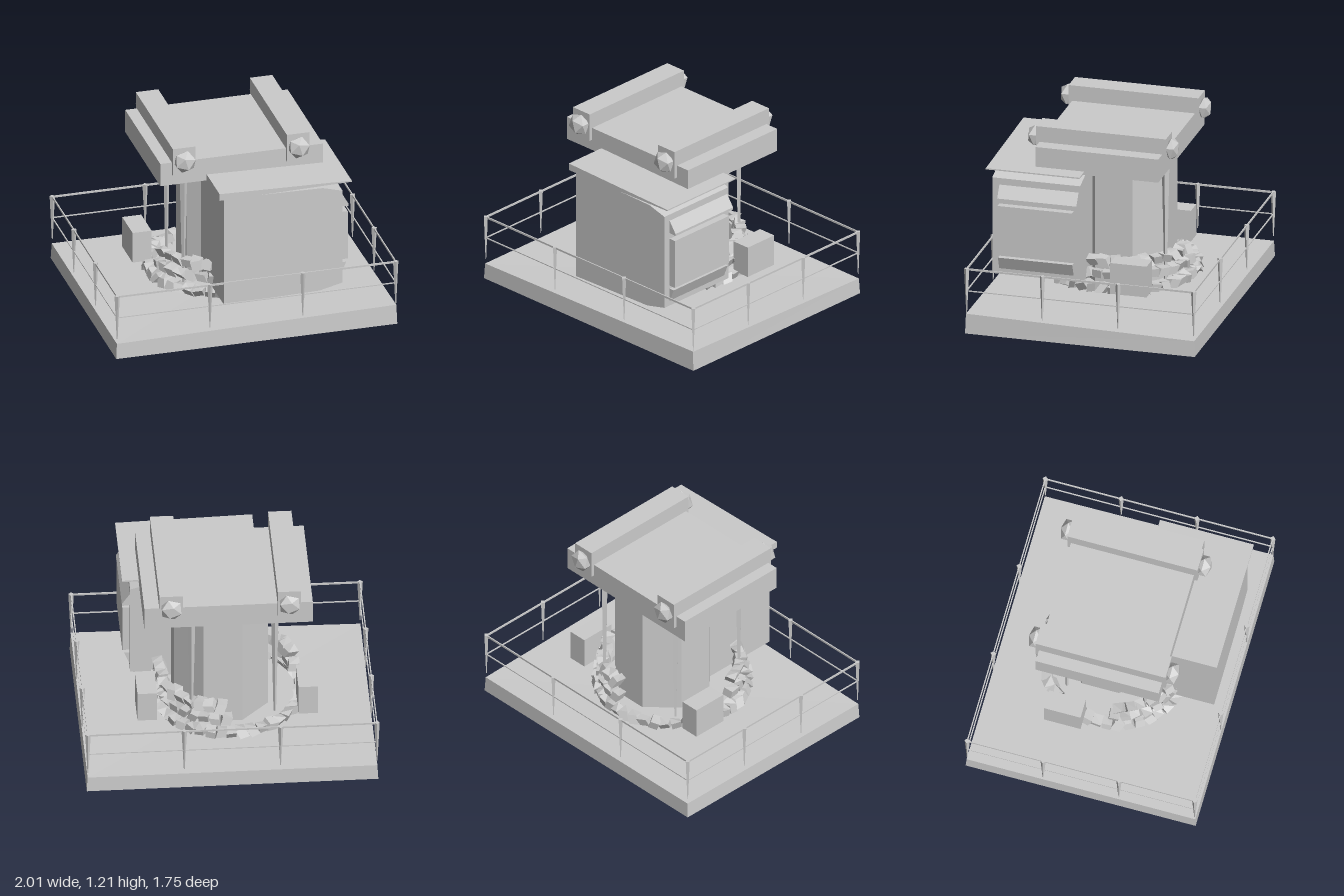
import * as THREE from 'three';

const mat = new THREE.MeshStandardMaterial({ color: 0xcccccc, flatShading: true, side: THREE.DoubleSide });

// Move every vertex of a geometry by a rule
function warp(geo, rule) {
  const p = geo.attributes.position, v = new THREE.Vector3();
  for (let i = 0; i < p.count; i++) {
    rule(v.fromBufferAttribute(p, i));
    p.setXYZ(i, v.x, v.y, v.z);
  }
  geo.computeVertexNormals();
  return geo;
}

function seeded(seed) {
  return () => (seed = (seed * 16807) % 2147483647) / 2147483647;
}

export function createModel() {
  const root = new THREE.Group();
  const tower = new THREE.Group();
  tower.name = 'guardTower';
  tower.rotation.y = 0.172;
  root.add(tower);

  const add = (name, geo, x = 0, y = 0, z = 0, parent = tower) => {
    const m = new THREE.Mesh(geo, mat);
    m.name = name;
    m.position.set(x, y, z);
    parent.add(m);
    return m;
  };
  // Box given by its limits on each axis
  const box = (name, x0, x1, y0, y1, z0, z1, rule) => {
    const g = new THREE.BoxGeometry(x1 - x0, y1 - y0, z1 - z0);
    g.translate((x0 + x1) / 2, (y0 + y1) / 2, (z0 + z1) / 2);
    return add(name, rule ? warp(g, rule) : g);
  };

  // Hollow base, open underneath, with one raised corner
  const W = 0.8875, D = 0.725;
  const base = box('base', -W, W, 0, 0.1, -D, D, v => {
    if (v.y > 0.05) {
      if (v.x > 0 && v.z > 0) v.y = 0.127;
      v.x *= 0.994;
      v.z *= 0.994;
    }
  });
  base.geometry.setIndex([...base.geometry.index.array].filter((_, i) => i < 18 || i >= 24));

  // Railing: tapering posts in thirds of each side, two thin rails
  const post = (x, z) => add('railPost', new THREE.CylinderGeometry(0.017, 0.003, 0.29, 4), x, 0.277, z);
  const rw = W - 0.008, rd = D - 0.008;
  for (const s of [-1, 1]) {
    for (const t of [-1, -1 / 3, 1 / 3, 1]) post(t * rw, s * rd);
    for (const t of [-1 / 3, 1 / 3]) post(s * rw, t * rd);
    for (const y of [0.275, 0.416]) {
      const h = y > 0.3 ? 0.012 : 0.006;
      add('rail', new THREE.BoxGeometry(2 * rw, h, 0.007), 0, y, s * rd);
      add('rail', new THREE.BoxGeometry(0.007, h, 2 * rd), s * rw, y, 0);
    }
  }

  // Central column with eight sides
  const column = new THREE.CylinderGeometry(0.31, 0.31, 0.76, 8);
  column.rotateY(Math.PI / 8);
  add('column', column, 0.03, 0.58, -0.05);

  // Slim poles beside the column
  for (const [x, z] of [[0.224, -0.352], [-0.291, -0.253], [-0.327, 0.248]])
    add('pole', new THREE.CylinderGeometry(0.024, 0.008, 0.76, 4), x, 0.58, z);

  // Upper platform, two beams and their faceted end caps
  box('platform', -0.513, 0.513, 0.96, 1.11, -0.388, 0.388);
  for (const x of [-0.369, 0.351]) {
    box('beam', x - 0.071, x + 0.071, 1.03, 1.21, -0.41, 0.41);
    for (const s of [-1, 1]) {
      const cap = add('beamEndCap', new THREE.IcosahedronGeometry(0.073, 0), x, 1.125, s * 0.43);
      cap.scale.z = s > 0 ? 0.75 : 0.6;
      cap.rotation.z = 0.3;
    }
  }

  // Cabin: outer side sloped in at top and bottom
  const cabinShape = new THREE.Shape([
    [-0.185, 0.235], [0.42, 0.25], [0.565, 0.285], [0.565, 0.905], [0.44, 0.94], [-0.185, 0.95],
  ].map(p => new THREE.Vector2(...p)));
  const cabin = new THREE.ExtrudeGeometry(cabinShape, { depth: 0.555, bevelEnabled: false });
  add('cabin', cabin, 0, 0, 0.09);

  // Cabin roof, a wedge thinning towards the outer side
  box('cabinRoof', -0.22, 0.615, 0.955, 1.0, 0.08, 0.672, v => {
    if (v.x > 0) v.y = v.y > 0.98 ? 0.98 : 0.972;
  });

  // Side window panel, awning above and sill panel below
  box('sidePanel', 0.56, 0.61, 0.42, 0.74, 0.13, 0.6);
  box('awning', 0.56, 0.615, 0.78, 0.87, 0.1, 0.6, v => {
    if (v.x > 0.6) v.y = v.y > 0.82 ? 0.79 : 0.775;
  });
  box('sillPanel', 0.56, 0.6, 0.32, 0.4, 0.13, 0.6, v => {
    if (v.x > 0.58 && v.y < 0.35) v.x = 0.568;
  });

  // Boxes on either side of the tower
  for (const s of [-1, 1]) {
    const g = new THREE.BoxGeometry(0.12, 0.2, 0.23);
    add('sideBox', g, s * 0.49, 0.32, -0.21);
  }

  // Ring of rough sandbags: a full bottom row and partial upper rows
  const bags = new THREE.Group();
  bags.name = 'sandbagRing';
  bags.position.set(-0.015, 0, -0.015);
  tower.add(bags);
  const rnd = seeded(77);
  const rows = [[0.205, 0.445, 44], [0.29, 0.425, 40], [0.37, 0.41, 40]];
  rows.forEach(([y, r, n], row) => {
    for (let i = 0; i < n; i++) {
      const a = (i + row / 2) / n * Math.PI * 2;
      // upper rows leave an opening at the rear and stop at the cabin
      const open = Math.cos(a - 3.85) > 0.6, inCabin = a > 0.25 && a < 1.85;
      if (row && (open || inCabin)) continue;
      const skew = () => (rnd() - 0.5) * 0.03;
      const [k, l, m] = [skew(), skew(), skew()];
      const g = warp(new THREE.BoxGeometry(0.065, 0.05, 0.06), v => {
        v.x += Math.sign(v.y) * k + Math.sign(v.z) * l * 0.5;
        v.y += Math.sign(v.x * v.z) * m * 0.6;
        v.z += Math.sign(v.y) * l;
      });
      const bag = add('sandbag', g, r * Math.cos(a), y, r * Math.sin(a), bags);
      bag.rotation.set(skew() * 12, -a + skew() * 10, skew() * 14);
    }
  });

  return root;
}
